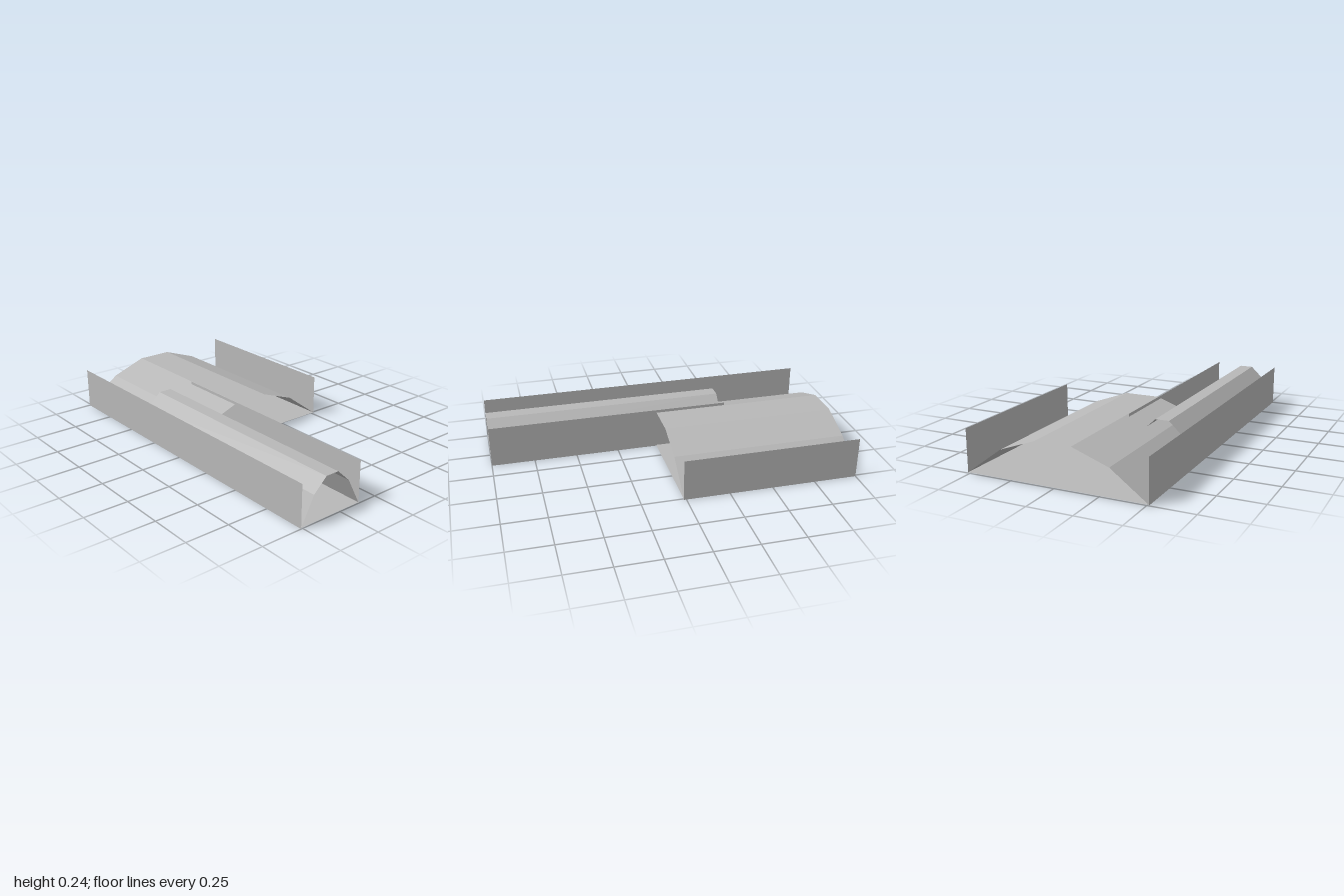
import * as THREE from 'three';

const grey = new THREE.MeshStandardMaterial({ color: 0xb8b8b8, side: THREE.DoubleSide, flatShading: true });
grey.name = 'plain grey';

const FLOOR = 0.005;
const WALL_TOP = 0.24;

// Open sheet: sweeps an [x, y] profile straight from z0 to z1
function sheet(name, profile, z0, z1) {
  const pos = [];
  for (let i = 0; i < profile.length - 1; i++) {
    const [ax, ay] = profile[i];
    const [bx, by] = profile[i + 1];
    pos.push(ax, ay, z0, ax, ay, z1, bx, by, z1);
    pos.push(ax, ay, z0, bx, by, z1, bx, by, z0);
  }
  const geo = new THREE.BufferGeometry();
  geo.setAttribute('position', new THREE.Float32BufferAttribute(pos, 3));
  geo.computeVertexNormals();
  const mesh = new THREE.Mesh(geo, grey);
  mesh.name = name;
  return mesh;
}

// Five-sided arch between two x positions
function archProfile(x0, x1) {
  const heights = [FLOOR, 0.156, 0.23, 0.23, 0.156, FLOOR];
  return heights.map((y, i) => [x0 + (x1 - x0) * i / 5, y]);
}

// Vertical wall at a fixed x
const wall = (name, x, z0, z1) => sheet(name, [[x, 0], [x, WALL_TOP]], z0, z1);

// One open-ended hall: arched roof over a flat floor
function hall(name, x0, x1, z0, z1, floorY) {
  const group = new THREE.Group();
  group.name = name;
  group.add(sheet('archedRoof', archProfile(x0, x1), z0, z1));
  group.add(sheet('floor', [[x0, floorY], [x1, floorY]], z0, z1));
  return group;
}

export function createModel() {
  const model = new THREE.Group();
  model.name = 'vaultedHalls';

  // Wide rear hall and the narrow hall that runs into it
  model.add(hall('wideHall', -0.51, 0.51, -1, 0.015, FLOOR));
  model.add(hall('narrowHall', -0.51, -0.12, -0.41, 1, FLOOR + 0.001));

  // Side walls
  model.add(wall('rightWall', -0.51, -1, 1));
  model.add(wall('leftWall', 0.51, -1, 0.015));
  model.add(wall('innerWall', -0.12, -0.41, 1));

  return model;
}
